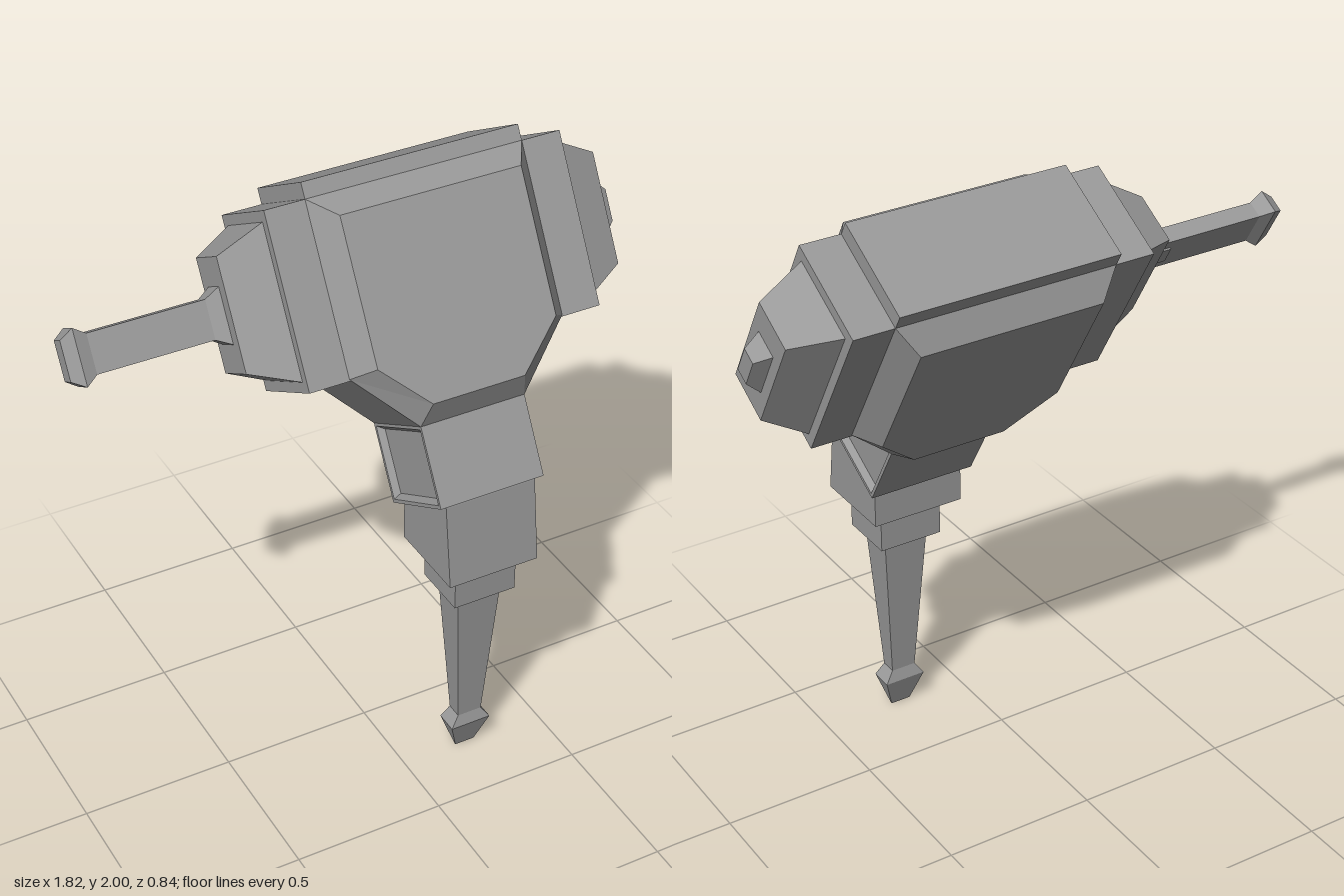
import * as THREE from 'three';

const CX = 0.2245; // symmetry plane of head and spike
const material = new THREE.MeshStandardMaterial({ color: 0x999999, flatShading: true });

// Joins closed convex rings, counter-clockwise seen from the far end, and caps both ends.
function loft(name, rings) {
  const pos = [];
  const tri = (...pts) => pts.forEach((p) => pos.push(...p));
  const n = rings[0].length;
  for (let r = 0; r < rings.length - 1; r++) {
    const a = rings[r], b = rings[r + 1];
    for (let i = 0; i < n; i++) {
      const j = (i + 1) % n;
      tri(a[i], a[j], b[j]);
      tri(a[i], b[j], b[i]);
    }
  }
  const first = rings[0], last = rings[rings.length - 1];
  for (let i = 1; i < n - 1; i++) {
    tri(first[0], first[i + 1], first[i]);
    tri(last[0], last[i], last[i + 1]);
  }
  const geometry = new THREE.BufferGeometry();
  geometry.setAttribute('position', new THREE.Float32BufferAttribute(pos, 3));
  geometry.computeVertexNormals();
  const mesh = new THREE.Mesh(geometry, material);
  mesh.name = name;
  return mesh;
}

// Rectangle across the x axis: half height h, half depth d
const rectX = (x, h, d, y, z) =>
  [[x, y - h, z - d], [x, y + h, z - d], [x, y + h, z + d], [x, y - h, z + d]];

// Rectangle across the y axis: half width w, half depth d
const rectY = (y, w, d, z) =>
  [[CX - w, y, z - d], [CX - w, y, z + d], [CX + w, y, z + d], [CX + w, y, z - d]];

// Head outline with cut lower corners
const outline = (z, w, top, cut, bottom, bw) =>
  [[-bw, bottom], [bw, bottom], [w, cut], [w, top], [-w, top], [-w, cut]]
    .map(([x, y]) => [CX + x, y, z]);

// Lofts [offset, h, d] sections outwards to one side
function sideLoft(name, side, sections, y, z) {
  const rings = sections.map(([o, h, d]) => rectX(CX + side * o, h, d, y, z));
  return loft(name, side > 0 ? rings : rings.reverse());
}

export function createModel() {
  const model = new THREE.Group();
  model.name = 'model';

  // Everything above the collar leans back 30 degrees
  const head = new THREE.Group();
  head.name = 'head';
  head.rotation.x = -Math.PI / 6;
  model.add(head);

  const Z = 0.7235, S = 1.472;

  // Core with bevelled raised panels front and back
  head.add(loft('headCore', [
    outline(0.4845, 0.302, 1.677, 1.22, 1.076, 0.156),
    outline(0.557, 0.363, 1.743, 1.206, 1.01, 0.178),
    outline(0.557, 0.363, 1.793, 1.206, 1.01, 0.178),
    outline(0.89, 0.363, 1.793, 1.206, 1.01, 0.178),
    outline(0.89, 0.363, 1.743, 1.206, 1.01, 0.178),
    outline(0.966, 0.302, 1.677, 1.22, 1.076, 0.156),
  ]));

  // Shoulder blocks with tapered ends
  for (const side of [-1, 1]) {
    head.add(sideLoft(side > 0 ? 'leftShoulder' : 'rightShoulder', side, [
      [0.34, 0.271, 0.1665],
      [0.495, 0.271, 0.1665],
      [0.495, 0.238, 0.136],
      [0.6375, 0.175, 0.083],
    ], S, Z));
  }

  // Short knob on the left end
  head.add(sideLoft('knob', 1, [
    [0.62, 0.087, 0.046],
    [0.6375, 0.087, 0.046],
    [0.683, 0.05, 0.027],
  ], S, Z));

  // Handle rod with flared base and flared tip on the right end
  head.add(sideLoft('handleRod', -1, [
    [0.62, 0.087, 0.041],
    [0.6375, 0.087, 0.041],
    [0.683, 0.061, 0.028],
    [1.054, 0.061, 0.028],
    [1.095, 0.087, 0.041],
    [1.135, 0.061, 0.028],
  ], S, Z));

  // Small plate on the back of the rod, near its base
  head.add(sideLoft('rodPlate', -1, [[0.7, 0.03, 0.012], [0.73, 0.03, 0.012]], S, Z - 0.022));

  // Neck block with recessed side panels
  const neck = [[0.158, 0.103, 0.14], [0.178, 0.117, 0.155], [0.178, 0.1285, 0.1665]];
  head.add(loft('neck', [
    ...neck.map(([x, h, d]) => rectX(CX - x, h, d, 0.8835, Z)),
    ...neck.reverse().map(([x, h, d]) => rectX(CX + x, h, d, 0.8835, Z)),
  ]));

  // Collar: sloping front, top running up into the neck
  const collarSide = (x) =>
    [[0.808, 0.13], [0.98, 0.13], [1.11, 0.378], [1.085, 0.383], [0.808, 0.418]]
      .map(([y, z]) => [CX + x, y, z]);
  model.add(loft('collar', [collarSide(-0.154), collarSide(0.154)]));

  // Socket, tapered shaft and pointed tip
  const z = 0.275;
  model.add(loft('socket', [rectY(0.675, 0.107, 0.095, z), rectY(0.83, 0.107, 0.095, z)]));
  model.add(loft('shaft', [rectY(0.15, 0.042, 0.027, z), rectY(0.69, 0.077, 0.063, z)]));
  model.add(loft('tip', [
    rectY(0, 0.034, 0.002, z),
    rectY(0.11, 0.07, 0.038, z),
    rectY(0.15, 0.042, 0.027, z),
  ]));

  return model;
}
